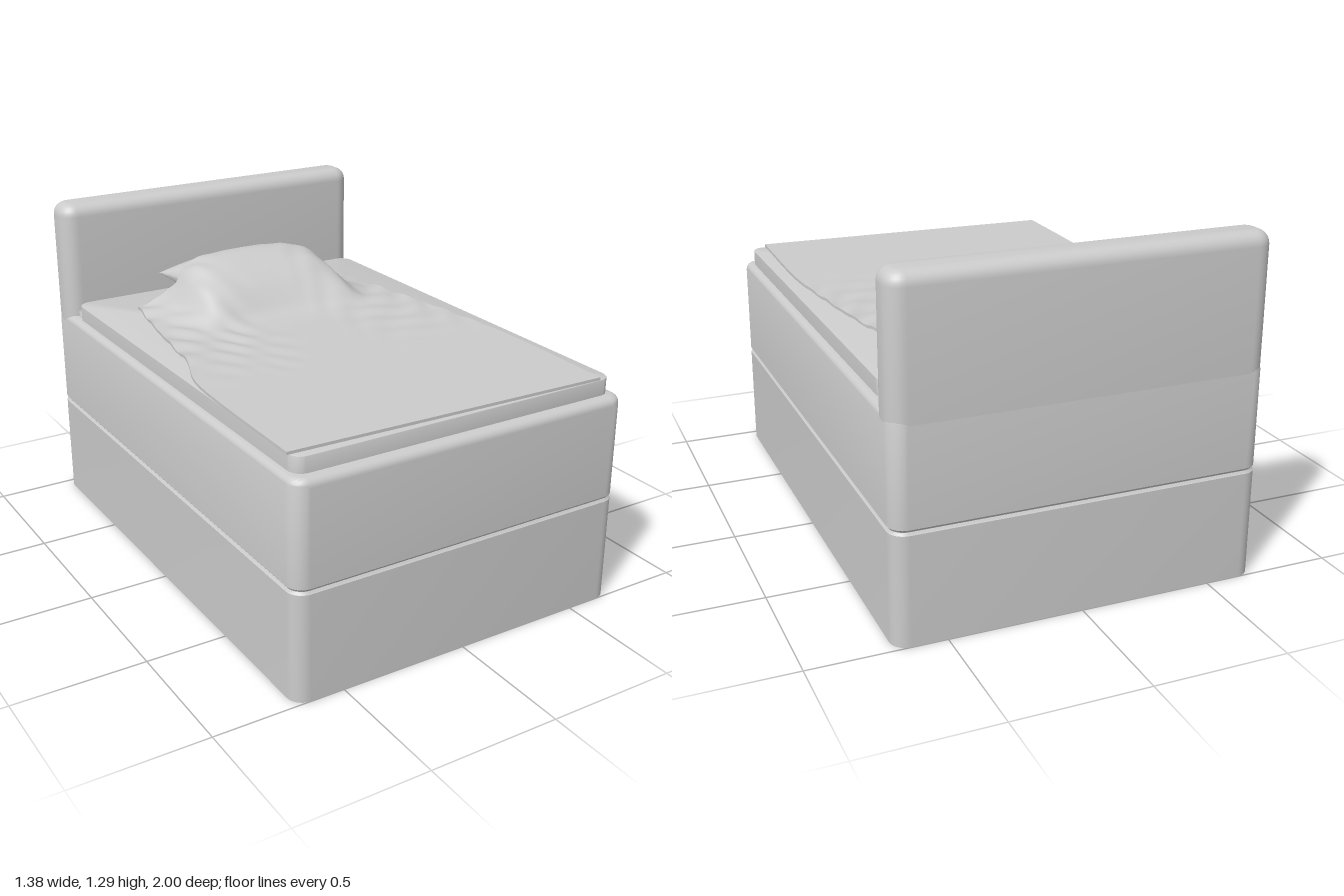
import * as THREE from 'three';
import { toCreasedNormals } from 'three/addons/utils/BufferGeometryUtils.js';

const { lerp, smoothstep } = THREE.MathUtils;

// Joins closed loops of points into one skin, skipping collapsed triangles
function loft(name, rings, crease = 0.6) {
  const n = rings[0].length, pos = [], index = [];
  rings.forEach(r => r.forEach(p => pos.push(p.x, p.y, p.z)));
  const pts = rings.flat(), tri = new THREE.Triangle();
  const add = (a, b, c) => {
    tri.set(pts[a], pts[b], pts[c]);
    if (tri.getArea() > 1e-9) index.push(a, b, c);
  };
  for (let i = 0; i < rings.length - 1; i++) {
    for (let j = 0; j < n; j++) {
      const k = (j + 1) % n, a = i * n + j, b = a + n, c = i * n + k, d = c + n;
      add(a, b, c);
      add(c, b, d);
    }
  }
  const geo = new THREE.BufferGeometry();
  geo.setAttribute('position', new THREE.Float32BufferAttribute(pos, 3));
  geo.setIndex(index);
  return makeMesh(name, toCreasedNormals(geo, crease));
}

function makeMesh(name, geo) {
  const mesh = new THREE.Mesh(geo, new THREE.MeshStandardMaterial({ color: 0xcccccc, side: THREE.DoubleSide }));
  mesh.name = name;
  return mesh;
}

// Horizontal rounded rectangle at height y, shrunk by inset
function roundRect(halfX, z0, z1, r, y, inset = 0) {
  const pts = [], rr = Math.max(r - inset, 0.005), steps = 8;
  const hx = halfX - inset - rr, hz = (z1 - z0) / 2 - inset - rr, cz = (z0 + z1) / 2;
  const corners = [[1, 1], [-1, 1], [-1, -1], [1, -1]];
  corners.forEach(([sx, sz], q) => {
    for (let i = 0; i <= steps; i++) {
      const a = (q + i / steps) * Math.PI / 2;
      pts.push(new THREE.Vector3(sx * hx + rr * Math.cos(a), y, cz + sz * hz + rr * Math.sin(a)));
    }
  });
  return pts;
}

// Stack of rounded rectangles with a rounded top edge and a flat lid, open below
function block(name, halfX, z0, z1, r, levels, top, bevel) {
  const rings = levels.map(([y, inset]) => roundRect(halfX, z0, z1, r, y, inset));
  for (let i = 0; i <= 6; i++) {
    const a = i / 6 * Math.PI / 2;
    rings.push(roundRect(halfX, z0, z1, r, top - bevel * (1 - Math.sin(a)), bevel * (1 - Math.cos(a))));
  }
  const centre = new THREE.Vector3(0, top, (z0 + z1) / 2);
  rings.push(rings[0].map(() => centre));
  return loft(name, rings);
}

// Smooth look-up through a short list of [key, value] pairs
function table(rows, t) {
  if (t <= rows[0][0]) return rows[0][1];
  for (let i = 1; i < rows.length; i++) {
    const [a, va] = rows[i - 1], [b, vb] = rows[i];
    if (t <= b) {
      const slope = k => {
        const p = rows[Math.max(k - 1, 0)], q = rows[Math.min(k + 1, rows.length - 1)];
        return (q[1] - p[1]) / (q[0] - p[0]) * (b - a);
      };
      const s = (t - a) / (b - a), s2 = s * s, s3 = s2 * s;
      return (2 * s3 - 3 * s2 + 1) * va + (s3 - 2 * s2 + s) * slope(i - 1)
        + (3 * s2 - 2 * s3) * vb + (s3 - s2) * slope(i);
    }
  }
  return rows[rows.length - 1][1];
}

// Cushion pinched to points at its four corners
function makePillow() {
  const rings = [], N = 28;
  for (let i = 0; i <= N; i++) {
    const v = -Math.cos(i / N * Math.PI), ring = [];
    for (let j = 0; j < 2 * N; j++) {
      const top = j <= N, u = -Math.cos(j / N * Math.PI);
      const puff = Math.pow(Math.max((1 - u * u) * (1 - v * v), 0), 0.5);
      ring.push(new THREE.Vector3(
        u * (0.29 - 0.025 * (1 - v * v)),
        0.96 + (top ? 0.11 : -0.078) * puff,
        -0.565 + v * (0.245 - 0.02 * (1 - u * u))));
    }
    rings.push(ring);
  }
  return loft('pillow', rings, 1);
}

// Blanket outline and the swell where it lies over the pillow
const LEFT = [[-0.63, 0.46], [-0.4, 0.51], [-0.1, 0.56], [0.15, 0.59], [0.4, 0.61], [0.96, 0.6]];
const RIGHT = [[-0.63, 0.475], [-0.4, 0.515], [-0.1, 0.56], [0.05, 0.58], [0.22, 0.64], [0.4, 0.66], [0.92, 0.67]];
const BACK = [[0, 0.035], [0.28, 0.03], [0.325, 0.065], [0.355, 0.03], [0.46, 0]];
const SWELL_X = [[0, 1], [0.12, 0.98], [0.24, 0.89], [0.3, 0.71], [0.34, 0.43], [0.38, 0.2], [0.44, 0.06], [0.5, 0]];
const SWELL_Z = [[-0.64, 0.94], [-0.55, 1], [-0.49, 0.96], [-0.42, 0.85], [-0.33, 0.6], [-0.27, 0.35],
  [-0.22, 0.13], [-0.17, 0.04], [-0.1, 0]];

function blanketHeight(x, z) {
  const ax = Math.abs(x), bow = 0.03 * Math.min((ax / 0.3) ** 2, 1.3);
  const swell = Math.max(table(SWELL_X, ax), 0) * Math.max(table(SWELL_Z, z - bow + 0.01), 0);
  // Creases fan out from the pillow and fade towards the foot
  const fade = (1 - smoothstep(z, -0.1, 0.45)) * smoothstep(ax, 0.05, 0.3);
  const crease = Math.sin(34 * (z + ax * 0.9) + 3 * Math.sin(x * 9)) * Math.sin(17 * (ax - z * 0.5) + x * 4);
  return 0.893 + 0.195 * swell + 0.006 * fade * crease;
}

function makeBlanket() {
  const rows = 80, cols = 90, thick = 0.011, rings = [];
  for (let i = 0; i <= rows; i++) {
    const v = Math.pow(i / rows, 1.3), z0 = lerp(-0.625, 0.938, v);
    const top = [];
    for (let j = 0; j <= cols; j++) {
      const u = j / cols;
      const x = lerp(-table(RIGHT, z0), table(LEFT, z0), u);
      const z = z0 + (1 - v) ** 4 * table(BACK, Math.abs(x)) + v * 0.018 * (2 * u - 1);
      top.push(new THREE.Vector3(x, blanketHeight(x, z), z));
    }
    const under = top.map(p => new THREE.Vector3(p.x, p.y - thick, p.z)).reverse();
    const flat = [...top, ...top.slice().reverse()];
    if (i === 0) rings.push(flat);
    rings.push([...top, ...under]);
    if (i === rows) rings.push(flat);
  }
  return loft('blanket', rings, 0.9);
}

// Concave cove where the headboard meets the base
function makeCove() {
  const r = 0.035, w = 1.3, shape = new THREE.Shape();
  shape.moveTo(0, 0);
  shape.lineTo(r, 0);
  shape.absarc(r, r, r, -Math.PI / 2, -Math.PI, true);
  shape.lineTo(0, 0);
  const geo = new THREE.ExtrudeGeometry(shape, { depth: w, bevelEnabled: false, curveSegments: 8 });
  geo.translate(0, 0, -w / 2).rotateY(-Math.PI / 2).translate(0, 0.82, -0.842);
  return makeMesh('headboardCove', toCreasedNormals(geo, 0.6));
}

export function createModel() {
  const group = new THREE.Group();
  group.name = 'bed';

  // Hollow base with a shallow groove around its middle
  group.add(block('base', 0.69, -1, 1, 0.06,
    [[0, 0], [0.41, 0], [0.414, 0.005], [0.42, 0.008], [0.426, 0.005], [0.43, 0]], 0.82, 0.03));

  // Headboard rising flush from the back of the base
  group.add(block('headboard', 0.69, -1, -0.84, 0.065, [[0.785, 0]], 1.29, 0.05));
  group.add(makeCove());

  // Bedding
  group.add(block('mattress', 0.66, -0.825, 0.955, 0.05, [[0.815, 0]], 0.881, 0.003));
  group.add(makePillow());
  group.add(makeBlanket());
  return group;
}
